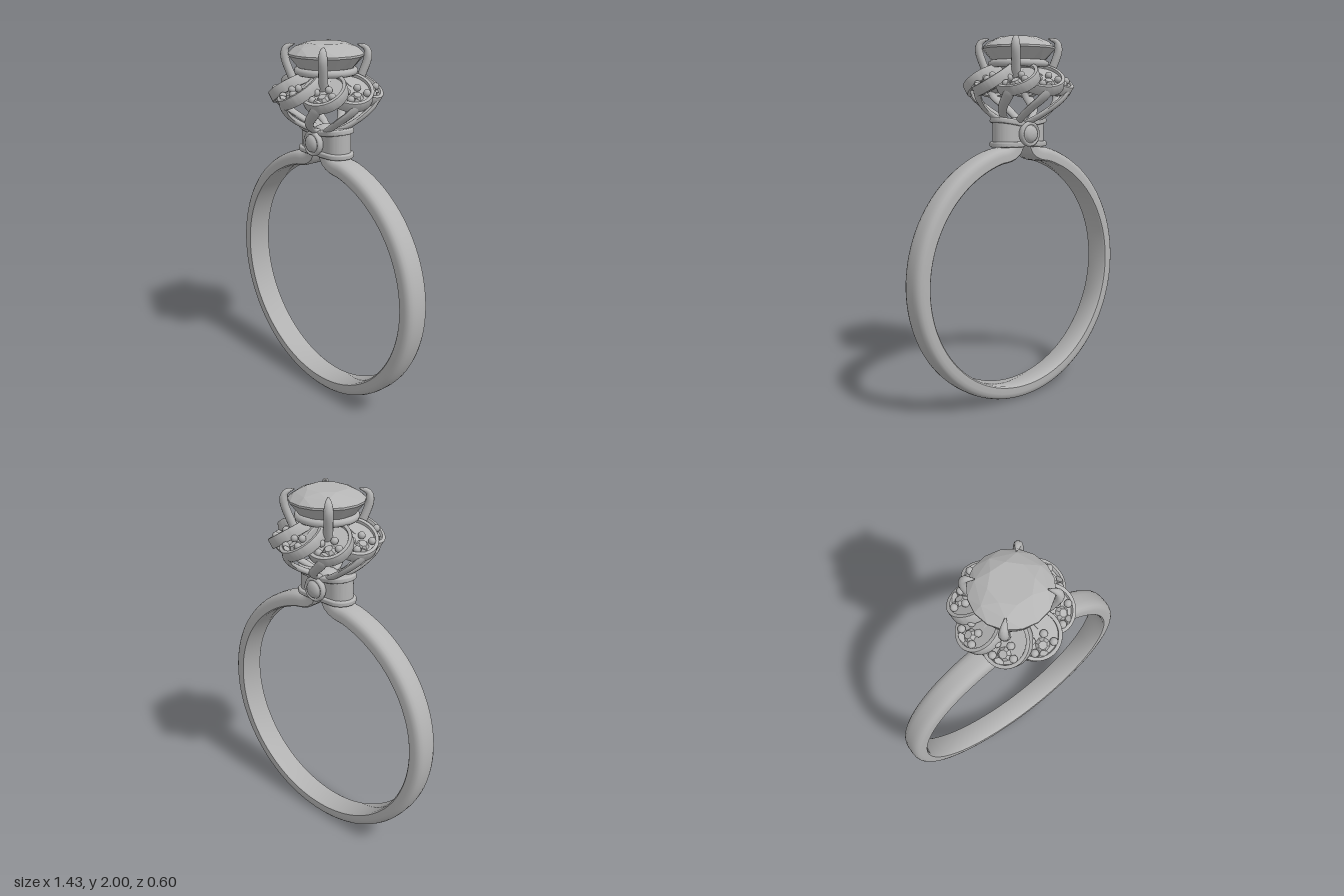
import * as THREE from 'three';
import { toCreasedNormals } from 'three/addons/utils/BufferGeometryUtils.js';
import { ConvexGeometry } from 'three/addons/geometries/ConvexGeometry.js';

const metal = new THREE.MeshStandardMaterial({ color: 0xb4b4b4 });
metal.name = 'grey metal';

function add(parent, name, geometry, x = 0, y = 0, z = 0) {
  const mesh = new THREE.Mesh(geometry, metal);
  mesh.name = name;
  mesh.position.set(x, y, z);
  parent.add(mesh);
  return mesh;
}

// Sweep a closed section along a curve; ref(point) fixes the section's second axis
function sweep(curve, steps, section, ref) {
  const pos = [], index = [], m = section(0).length;
  for (let i = 0; i <= steps; i++) {
    const t = i / steps, p = curve.getPointAt(t), T = curve.getTangentAt(t);
    const S = ref(p).cross(T).normalize(), N = T.clone().cross(S);
    for (const [a, b] of section(t)) {
      const v = p.clone().addScaledVector(S, a).addScaledVector(N, b);
      pos.push(v.x, v.y, v.z);
    }
  }
  for (let i = 0; i < steps; i++) for (let j = 0; j < m; j++) {
    const a = i * m + j, b = i * m + (j + 1) % m;
    index.push(a, b, b + m, a, b + m, a + m);
  }
  const e = steps * m;
  for (let j = 1; j < m - 1; j++) index.push(0, j + 1, j, e, e + j, e + j + 1);
  const g = new THREE.BufferGeometry();
  g.setAttribute('position', new THREE.Float32BufferAttribute(pos, 3));
  g.setIndex(index);
  return toCreasedNormals(g, 0.8);
}

const oval = (a, b, n = 12) => Array.from({ length: n }, (_, i) => {
  const w = i / n * Math.PI * 2;
  return [a * Math.cos(w), b * Math.sin(w)];
});

// Band, flat inside and rounded outside, with ends curling up under the collar
function band() {
  const end = [[0.045, 1.45], [0.07, 1.4], [0.115, 1.377]], pts = [];
  for (const [x, y] of end) pts.push(new THREE.Vector3(-x, y, 0));
  for (let i = 0; i <= 60; i++) {
    const w = THREE.MathUtils.degToRad(105 + 330 * i / 60);
    pts.push(new THREE.Vector3(0.675 * Math.cos(w), 0.715 + 0.675 * Math.sin(w), 0));
  }
  for (const [x, y] of end.slice().reverse()) pts.push(new THREE.Vector3(x, y, 0));
  const section = [[0.04, -0.062], [0.04, 0.062], [0.033, 0.07], [0.0, 0.07], [-0.018, 0.066], [-0.03, 0.056],
    [-0.037, 0.04], [-0.04, 0.02], [-0.04, -0.02], [-0.037, -0.04], [-0.03, -0.056], [-0.018, -0.066], [0.0, -0.07], [0.033, -0.07]];
  return sweep(new THREE.CatmullRomCurve3(pts), 160, () => section, () => new THREE.Vector3(0, 0, 1));
}

// Upright slab, flat on the inner side and half round on the outer
function postGeometry(r, height, bevel) {
  const s = new THREE.Shape();
  s.moveTo(0.035, -r).lineTo(0.095, -r).absarc(0.095, 0, r, -Math.PI / 2, Math.PI / 2, false).lineTo(0.035, r).closePath();
  const g = new THREE.ExtrudeGeometry(s, { depth: height, curveSegments: 20, bevelEnabled: bevel > 0,
    bevelSize: bevel, bevelThickness: bevel, bevelSegments: 3 });
  return toCreasedNormals(g.rotateX(-Math.PI / 2), 0.7);
}

function collar() {
  const g = new THREE.Group();
  g.name = 'collar';
  for (const turn of [0, Math.PI]) {
    const post = new THREE.Group();
    post.name = 'collarPost';
    post.rotation.y = turn;
    add(post, 'postBody', postGeometry(0.068, 0.13, 0), 0, 1.42);
    add(post, 'lowerFlange', postGeometry(0.074, 0.01, 0.01), 0, 1.425);
    add(post, 'upperFlange', postGeometry(0.074, 0.01, 0.01), 0, 1.53).rotation.z = 0.16;
    g.add(post);
  }
  // Domed round settings on the front and back
  const profile = [[0.045, 0], [0.05, 0.06], [0.062, 0.075], [0.067, 0.088], [0.065, 0.1], [0.058, 0.107], [0.05, 0.104],
    [0.047, 0.098], [0.042, 0.109], [0.03, 0.117], [0.015, 0.121], [0, 0.122]].map(p => new THREE.Vector2(...p));
  for (const side of [1, -1])
    add(g, 'roundSetting', new THREE.LatheGeometry(profile, 32), 0, 1.485).rotation.x = side * Math.PI / 2;
  return g;
}

// Faceted round stone from rings of points
function stoneGeometry() {
  const pts = [new THREE.Vector3(0, 1.73, 0)];
  const ring = (n, r, y, off) => {
    for (let i = 0; i < n; i++) {
      const w = (i + off) / n * Math.PI * 2;
      pts.push(new THREE.Vector3(r * Math.cos(w), y, r * Math.sin(w)));
    }
  };
  ring(8, 0.105, 1.995, 0.5);
  ring(8, 0.16, 1.974, 0);
  ring(16, 0.196, 1.943, 0);
  ring(16, 0.196, 1.933, 0);
  ring(8, 0.12, 1.84, 0.5);
  return new ConvexGeometry(pts);
}

function ellipse(target, a, b) {
  target.absellipse(0, 0, a, b, 0, Math.PI * 2, false, 0);
  return target;
}

// Tilted petal tray with a raised rim, a small stone and beads
function petal() {
  const tray = new THREE.Group();
  tray.name = 'petalTray';
  tray.position.set(0.188, 1.79, 0);
  tray.rotation.set(0.25, 0, -0.5, 'ZYX');
  const rim = ellipse(new THREE.Shape(), 0.121, 0.114);
  rim.holes.push(ellipse(new THREE.Path(), 0.108, 0.101));
  const rimGeo = new THREE.ExtrudeGeometry(rim, { depth: 0.05, curveSegments: 40, bevelEnabled: true,
    bevelSize: 0.003, bevelThickness: 0.003, bevelSegments: 2 });
  add(tray, 'petalRim', toCreasedNormals(rimGeo.rotateX(Math.PI / 2), 0.6));
  const floor = new THREE.ExtrudeGeometry(ellipse(new THREE.Shape(), 0.11, 0.103), { depth: 0.02, curveSegments: 32, bevelEnabled: false });
  add(tray, 'petalFloor', floor.rotateX(Math.PI / 2), 0, -0.014);
  const stone = new THREE.CylinderGeometry(0.02, 0.035, 0.018, 8).toNonIndexed();
  stone.computeVertexNormals();
  add(tray, 'smallStone', stone, 0.058, -0.006);
  for (const [u, t] of [[0.07, -0.05], [0.07, 0.05], [0.015, -0.03], [0.015, 0.035]])
    add(tray, 'bead', new THREE.SphereGeometry(0.019, 14, 10), u, 0, t);
  return tray;
}

// Curved strap rising from the hub and twisting outward to a petal
function strapGeometry() {
  const pts = [[0.03, 1.535, 0], [0.11, 1.565, 0.15], [0.19, 1.62, 0.4], [0.255, 1.69, 0.65], [0.265, 1.74, 0.75]]
    .map(([r, y, w]) => new THREE.Vector3(r * Math.cos(w), y, -r * Math.sin(w)));
  return sweep(new THREE.CatmullRomCurve3(pts), 24, t => oval(0.018 + 0.012 * t, 0.015),
    p => new THREE.Vector3(p.x, 1.2 * (p.y - 1.78), p.z));
}

// Claw gripping the stone, tapering over its edge
function prongGeometry() {
  const pts = [[0.14, 1.74], [0.185, 1.84], [0.213, 1.93], [0.203, 1.97], [0.16, 1.987]]
    .map(([r, y]) => new THREE.Vector3(r, y, 0));
  return sweep(new THREE.CatmullRomCurve3(pts), 24, t => {
    const r = t < 0.7 ? 0.024 : 0.024 - 0.02 * ((t - 0.7) / 0.3) ** 1.5;
    return oval(r * 0.9, r);
  }, () => new THREE.Vector3(0, 0, 1));
}

function repeat(parent, count, offset, make) {
  for (let i = 0; i < count; i++) {
    const g = new THREE.Group();
    g.rotation.y = -(i + offset) / count * Math.PI * 2;
    make(g);
    parent.add(g);
  }
}

export function createModel() {
  const model = new THREE.Group();
  model.name = 'flowerRing';
  add(model, 'band', band());
  model.add(collar());

  const head = new THREE.Group();
  head.name = 'flowerHead';
  model.add(head);
  add(head, 'hub', new THREE.SphereGeometry(0.06, 24, 12).scale(1, 0.5, 1), 0, 1.545);
  const strap = strapGeometry(), prong = prongGeometry();
  repeat(head, 8, 0, g => {
    g.name = 'petal';
    g.add(petal());
    add(g, 'strap', strap);
  });
  add(head, 'stoneSeat', new THREE.TorusGeometry(0.145, 0.02, 10, 48).rotateX(Math.PI / 2), 0, 1.855);
  add(head, 'centreStone', stoneGeometry());
  repeat(head, 4, 0.5, g => {
    g.name = 'claw';
    add(g, 'prong', prong);
  });
  return model;
}
